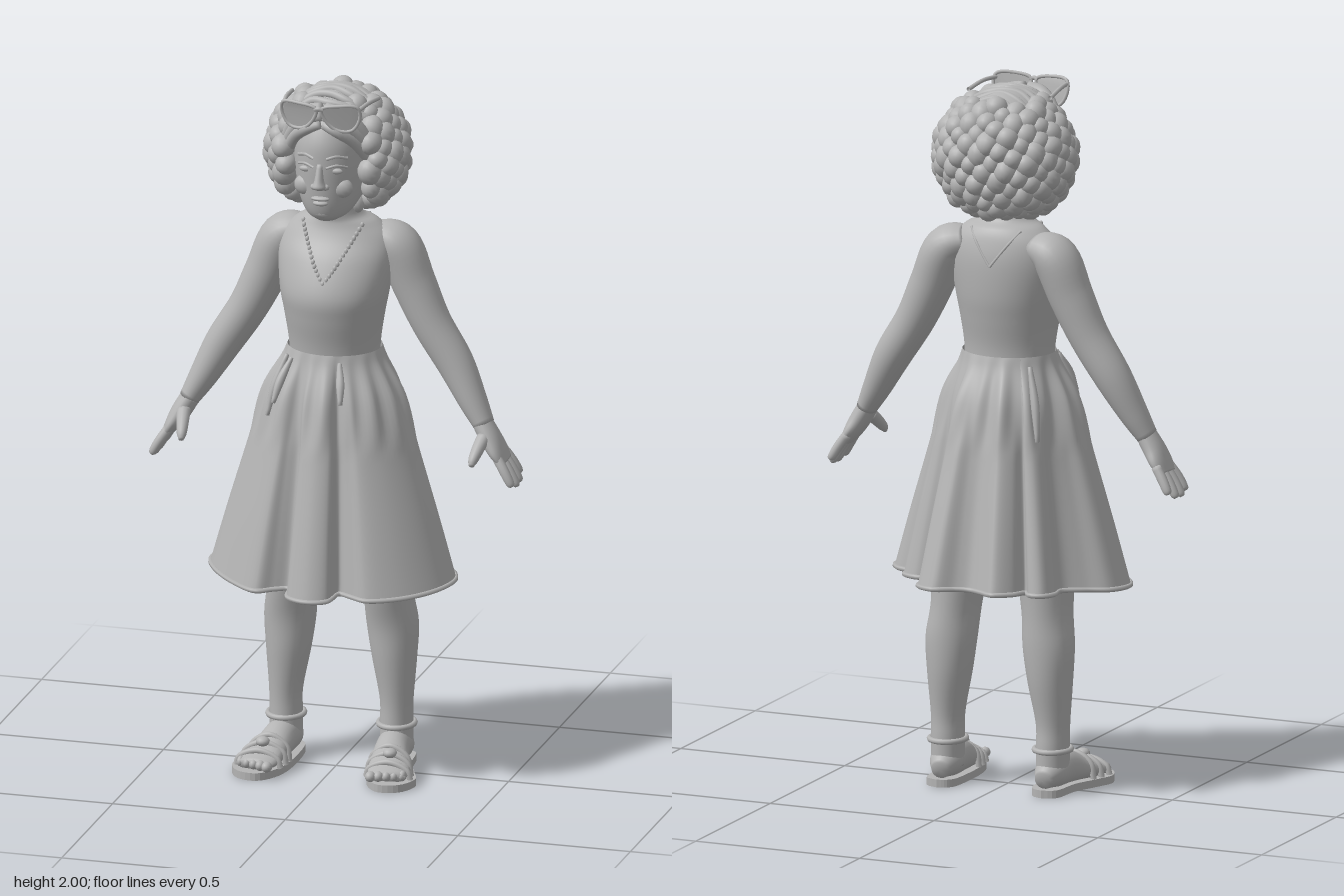
import * as THREE from 'three';

const skin = new THREE.MeshStandardMaterial({ color: 0xb4b4b4 });
skin.name = 'plain grey';
skin.side = THREE.DoubleSide;
const V = (x, y, z) => new THREE.Vector3(x, y, z);
const Y = V(0, 1, 0), Z = V(0, 0, 1);

function add(parent, name, geometry) {
  const m = new THREE.Mesh(geometry, skin);
  m.name = name;
  parent.add(m);
  return m;
}

// Surface of rows x cols points, closed around the columns
function grid(rows, cols, fn) {
  const pos = [], idx = [];
  for (let i = 0; i <= rows; i++) for (let j = 0; j < cols; j++) {
    pos.push(...fn(i, j).toArray());
    if (i === rows) continue;
    const a = i * cols + j, b = i * cols + (j + 1) % cols;
    idx.push(a, a + cols, b, b, a + cols, b + cols);
  }
  const g = new THREE.BufferGeometry();
  g.setAttribute('position', new THREE.Float32BufferAttribute(pos, 3));
  g.setIndex(idx);
  g.computeVertexNormals();
  return g;
}

// Elliptical sweep through stations [x, y, z, radius across, radius along ref]
function sweep(list, { ref = Z, flat = false, rows = 24, cols = 24, s = 1 } = {}) {
  const path = new THREE.CatmullRomCurve3(list.map(p => V(p[0] * s, p[1], p[2])), false, 'catmullrom');
  const size = new THREE.CatmullRomCurve3(list.map(p => V(p[3], p[4], 0)), false, 'catmullrom');
  return grid(rows + 2, cols, (i, j) => {
    const k = Math.min(1, Math.max(0, (i - 1) / rows));
    const t = flat ? Y.clone() : path.getTangent(k);
    const u = ref.clone().addScaledVector(t, -ref.dot(t)).normalize();
    const v = t.clone().cross(u);
    const r = size.getPoint(k).multiplyScalar(i === 0 || i === rows + 2 ? 0.02 : 1);
    const a = j / cols * Math.PI * 2;
    return path.getPoint(k).addScaledVector(v, Math.cos(a) * r.x).addScaledVector(u, Math.sin(a) * r.y);
  });
}

// Front (f = 1) or back (f = -1) depth of a stack of level ellipses
function depth(list, x, y, f = 1) {
  let i = 0;
  while (i < list.length - 2 && list[i + 1][1] < y) i++;
  const a = list[i], b = list[i + 1], k = (y - a[1]) / (b[1] - a[1]);
  const m = n => a[n] + (b[n] - a[n]) * k;
  return m(2) + f * m(4) * Math.sqrt(Math.max(0, 1 - (x / m(3)) ** 2));
}

const tube = (pts, r, n = 24, closed = false) =>
  new THREE.TubeGeometry(new THREE.CatmullRomCurve3(pts.map(p => V(...p)), closed), n, r, 8, closed);

function ball(parent, name, p, r, rot = [0, 0, 0]) {
  const m = add(parent, name, new THREE.SphereGeometry(1, 14, 10));
  m.position.set(...p);
  m.scale.set(...r);
  m.rotation.set(...rot);
  return m;
}

const torso = [
  [0, 1.18, 0.005, 0.125, 0.11], [0, 1.26, 0.01, 0.13, 0.115], [0, 1.34, 0.012, 0.142, 0.13],
  [0, 1.41, 0.01, 0.155, 0.138], [0, 1.5, -0.008, 0.165, 0.12], [0, 1.56, -0.022, 0.155, 0.095],
  [0, 1.6, -0.022, 0.115, 0.078], [0, 1.63, -0.005, 0.07, 0.062], [0, 1.72, 0.01, 0.06, 0.06]];
const skull = [
  [0, 1.632, 0.085, 0.03, 0.035], [0, 1.65, 0.07, 0.06, 0.07], [0, 1.69, 0.045, 0.085, 0.108],
  [0, 1.75, 0.03, 0.1, 0.13], [0, 1.81, 0.025, 0.106, 0.138], [0, 1.87, 0.015, 0.105, 0.142],
  [0, 1.93, 0, 0.09, 0.125], [0, 1.965, 0, 0.05, 0.07]];

// Hem outline seen from above, as x and z
const hem = [
  [0, 0.3], [0.055, 0.28], [0.072, 0.215], [0.11, 0.23], [0.16, 0.25], [0.25, 0.21], [0.33, 0.12],
  [0.355, 0.03], [0.32, -0.04], [0.27, -0.07], [0.265, -0.12], [0.22, -0.15], [0.175, -0.15], [0.168, -0.21],
  [0.15, -0.275], [0.092, -0.303], [0.04, -0.268], [0, -0.257], [-0.04, -0.275], [-0.085, -0.3],
  [-0.13, -0.26], [-0.148, -0.21], [-0.175, -0.245], [-0.21, -0.24], [-0.228, -0.195], [-0.22, -0.13],
  [-0.27, -0.08], [-0.33, -0.04], [-0.35, 0.04], [-0.32, 0.11], [-0.24, 0.2], [-0.16, 0.25],
  [-0.115, 0.225], [-0.075, 0.21], [-0.06, 0.275]];

function buildDress(g) {
  add(g, 'bodice', sweep(torso, { flat: true, rows: 40, cols: 40 }));
  const outline = new THREE.CatmullRomCurve3(hem.map(([x, z]) => V(x, 0.59 - 0.06 * z, z)), true);
  const spread = new THREE.CatmullRomCurve3([[0, 0], [0.05, 0.06], [0.2, 0.3], [0.45, 0.52], [0.74, 0.78], [1, 1]].map(p => V(p[0], p[1], 0)));
  const cols = 200, rows = 32;
  const rim = Array.from({ length: cols }, (_, j) => outline.getPoint(j / cols));
  add(g, 'pleatedSkirt', grid(rows, cols, (i, j) => {
    const s = spread.getPoint(i / rows), p = rim[j], a = Math.atan2(p.x, p.z);
    const gather = 1 + 0.035 * Math.sin(a * 17) * Math.sin(Math.PI * Math.min(1, s.x * 2.5));
    const x = Math.sin(a) * 0.133, z = 0.008 + Math.cos(a) * 0.12;
    return V((x + (p.x - x) * s.y) * gather, 1.24 + (p.y - 1.24) * s.x, (z + (p.z - z) * s.y) * gather);
  }));
  add(g, 'hemRoll', new THREE.TubeGeometry(outline, 200, 0.007, 6, true));
  // Gathered ruffles hanging below the waist
  for (const [x, z, l] of [[-0.145, 0.1, 0.17], [-0.12, 0.13, 0.12], [-0.14, -0.12, 0.2], [0.06, 0.15, 0.1]])
    add(g, 'waistRuffle', sweep([[x * 0.8, 1.22, z * 0.85, 0.006, 0.008], [x, 1.22 - l / 2, z * 1.08, 0.012, 0.012], [x * 1.12, 1.22 - l, z * 1.25, 0.006, 0.008]], { rows: 10, cols: 10 }));
  // Necklace in front and V seam behind
  for (const s of [-1, 1]) {
    for (let i = 0; i <= 14; i++) {
      const k = i / 14, x = s * 0.085 * k ** 0.85, y = 1.45 + 0.15 * k;
      ball(g, 'necklaceBead', [x, y, depth(torso, x, y)], [0.006, 0.008, 0.005]);
    }
    add(g, 'backNeckSeam', tube([0, 0.33, 0.66, 1].map(k => {
      const x = s * 0.075 * k, y = 1.5 + 0.1 * k;
      return [x, y, depth(torso, x, y, -1)];
    }), 0.004));
  }
}

function buildFace(g) {
  add(g, 'head', sweep(skull, { flat: true, rows: 36, cols: 36 }));
  const on = (x, y, d = 0) => [x, y, depth(skull, x, y) + d];
  add(g, 'nose', sweep([[0, 1.735, 0.158, 0.012, 0.012], [0, 1.745, 0.168, 0.02, 0.02], [0, 1.765, 0.166, 0.013, 0.017], [0, 1.81, 0.158, 0.008, 0.009]], { flat: true, rows: 14, cols: 14 }));
  ball(g, 'upperLip', on(0, 1.708, 0), [0.027, 0.007, 0.013]);
  ball(g, 'lowerLip', on(0, 1.694, 0), [0.022, 0.008, 0.013]);
  ball(g, 'chin', [0, 1.662, 0.125], [0.03, 0.02, 0.02]);
  for (const s of [-1, 1]) {
    ball(g, 'nostril', [s * 0.016, 1.743, 0.158], [0.011, 0.009, 0.012]);
    ball(g, 'eye', on(s * 0.043, 1.79, -0.003), [0.02, 0.009, 0.009]);
    ball(g, 'cheek', on(s * 0.05, 1.735, -0.018), [0.035, 0.03, 0.024]);
    for (const [name, y, r] of [['eyelid', 1.799, 0.004], ['eyebrow', 1.825, 0.005]])
      add(g, name, tube([on(s * 0.018, y), on(s * 0.043, y + 0.007), on(s * 0.07, y - 0.001)], r));
  }
}

function buildHair(g) {
  ball(g, 'hairBase', [0, 1.8, -0.055], [0.165, 0.165, 0.125]);
  ball(g, 'hairCap', [0, 1.84, -0.015], [0.142, 0.152, 0.148]);
  // Curls spread evenly round the head, leaving the face open
  const n = 210;
  for (let i = 0; i < n; i++) {
    const y = 1 - 2 * (i + 0.5) / n, a = i * 2.39996, r = Math.sqrt(1 - y * y) ** (y < 0 ? 0.7 : 1);
    const p = [Math.cos(a) * r * (0.18 - 0.015 * Math.max(0, y)), 1.81 + y * 0.16, -0.022 + Math.sin(a) * r * 0.155];
    if (y > 0.86 || (p[2] > 0.03 && Math.abs(p[0]) < 0.115 && p[1] < 1.93)) continue;
    if (y < -0.8 && p[2] > 0) continue;
    const k = 0.027 + 0.008 * Math.abs(Math.sin(i * 12.9));
    ball(g, 'curl', p, [k, k * 1.15, k], [i, i * 2, 0]);
  }
  // Wavy strands over the crown and parted locks on the forehead
  for (let i = -4; i <= 4; i++) {
    const pts = [-0.1, -0.05, 0, 0.05, 0.1].map((x, k) => {
      const z = i * 0.026 - 0.005 + 0.008 * Math.sin(k * 2 + i);
      return [x, 1.833 + 0.152 * Math.sqrt(Math.max(0, 1 - (x / 0.15) ** 2 - (z / 0.158) ** 2)), z];
    });
    add(g, 'crownStrand', tube(pts, 0.012));
  }
  for (const s of [-1, 1]) for (const [d, r] of [[0, 0.017], [0.022, 0.02], [0.045, 0.02]])
    add(g, 'foreheadLock', sweep([[0.004, 1.92 + d, 0.142 - d * 0.5, r * 0.7, r * 0.7], [0.045, 1.905 + d, 0.145 - d * 0.5, r, r], [0.085, 1.87 + d, 0.115 - d * 0.3, r, r], [0.12, 1.81 + d, 0.075, r, r]], { rows: 14, cols: 12, s }));
}

function buildSunglasses(g) {
  const glasses = new THREE.Group();
  glasses.name = 'sunglasses';
  glasses.position.set(0, 1.945, 0.165);
  glasses.rotation.x = 0.2;
  g.add(glasses);
  for (const s of [-1, 1]) {
    const pts = [[0.008, 0.03], [0.06, 0.042], [0.108, 0.035], [0.112, 0.0], [0.09, -0.035], [0.05, -0.035], [0.02, -0.008]];
    const rim = new THREE.CatmullRomCurve3(pts.map(([x, y]) => V(s * x, y, -x * x * 1.5)), true);
    add(glasses, 'lensRim', new THREE.TubeGeometry(rim, 40, 0.005, 8, true));
    const lens = new THREE.ShapeGeometry(new THREE.Shape(rim.getPoints(40).map(p => new THREE.Vector2(p.x, p.y))));
    const q = lens.attributes.position;
    for (let i = 0; i < q.count; i++) q.setZ(i, -(q.getX(i) ** 2) * 1.5);
    lens.computeVertexNormals();
    add(glasses, 'lens', lens);
    add(glasses, 'templeArm', tube([[s * 0.108, 0.025, -0.018], [s * 0.118, 0.015, -0.08], [s * 0.125, -0.01, -0.16]], 0.006));
  }
  add(glasses, 'bridge', tube([[-0.012, 0.028, 0], [0, 0.032, 0.002], [0.012, 0.028, 0]], 0.006));
}

function buildArm(g, s) {
  add(g, 'arm', sweep([[0.1, 1.555, -0.04, 0.04, 0.055], [0.165, 1.525, -0.047, 0.062, 0.072], [0.212, 1.42, -0.045, 0.062, 0.064], [0.265, 1.31, -0.04, 0.056, 0.058], [0.335, 1.2, -0.035, 0.052, 0.054], [0.39, 1.1, -0.02, 0.04, 0.045], [0.427, 1.035, -0.008, 0.029, 0.036]], { rows: 36, s }));
  add(g, 'palm', sweep([[0.42, 1.045, -0.008, 0.028, 0.034], [0.447, 1.0, -0.005, 0.028, 0.045], [0.468, 0.965, -0.006, 0.023, 0.054], [0.487, 0.935, -0.008, 0.015, 0.05]], { s }));
  // Four fingers and a thumb
  [0.038, 0.006, -0.026, -0.054].forEach((z, i) => {
    const l = [0.9, 1, 0.97, 0.8][i];
    add(g, 'finger', sweep([[0.472, 0.958, z * 0.8 - 0.003, 0.014, 0.014], [0.472 + 0.03 * l, 0.958 - 0.045 * l, z, 0.014, 0.014], [0.472 + 0.05 * l, 0.958 - 0.08 * l, z * 1.1, 0.012, 0.012], [0.472 + 0.055 * l, 0.958 - 0.09 * l, z * 1.1, 0.006, 0.006]], { rows: 12, cols: 12, s }));
  });
  add(g, 'thumb', sweep([[0.435, 1.01, 0.02, 0.018, 0.02], [0.428, 0.985, 0.055, 0.017, 0.018], [0.422, 0.96, 0.085, 0.014, 0.014], [0.42, 0.945, 0.098, 0.007, 0.007]], { ref: V(1, 0, 0), rows: 12, cols: 12, s }));
}

function buildLeg(g, s) {
  add(g, 'leg', sweep([[0.16, 0.05, -0.052, 0.046, 0.055], [0.16, 0.13, -0.054, 0.046, 0.054], [0.16, 0.2, -0.053, 0.047, 0.054], [0.153, 0.32, -0.056, 0.063, 0.068], [0.148, 0.42, -0.055, 0.073, 0.074], [0.138, 0.52, -0.042, 0.07, 0.084], [0.126, 0.66, -0.03, 0.084, 0.096], [0.11, 0.82, -0.02, 0.095, 0.105], [0.075, 1.02, 0, 0.075, 0.1]], { flat: true, rows: 40, s }));
  add(g, 'foot', sweep([[0.157, 0.045, -0.115, 0.025, 0.025], [0.16, 0.06, -0.07, 0.046, 0.045], [0.163, 0.065, -0.01, 0.048, 0.052], [0.172, 0.053, 0.05, 0.053, 0.041], [0.186, 0.04, 0.11, 0.06, 0.027], [0.193, 0.034, 0.16, 0.052, 0.016]], { ref: Y, s }));
  for (let i = 0; i < 5; i++)
    ball(g, 'toe', [s * (0.15 + i * 0.021), 0.036, 0.172 - 0.006 * i - (i === 0 ? 0 : 0.002 * i)], [0.015 - i * 0.001, 0.015, 0.018]);
  // Sandal
  const edge = new THREE.SplineCurve([[0.16, -0.132], [0.2, -0.11], [0.212, -0.02], [0.245, 0.06], [0.264, 0.12], [0.235, 0.18], [0.175, 0.194], [0.13, 0.14], [0.112, 0.05], [0.114, -0.08], [0.13, -0.12], [0.16, -0.132]].map(([x, z]) => new THREE.Vector2(x * s, z)));
  const sole = new THREE.ExtrudeGeometry(new THREE.Shape(edge.getPoints(48)), { depth: 0.022, bevelEnabled: false });
  sole.rotateX(Math.PI / 2).translate(0, 0.022, 0);
  add(g, 'sandalSole', sole);
  for (const [z, h, w] of [[0.06, 0.093, 0.058], [0.09, 0.08, 0.063], [0.125, 0.066, 0.064]]) {
    const c = 0.175 + (z - 0.06) * 0.2;
    add(g, 'sandalStrap', tube([[-w, 0.02], [-w * 0.85, h * 0.68], [0, h], [w * 0.85, h * 0.68], [w, 0.02]].map(([x, y]) => [s * (c + x), y, z]), 0.009));
  }
  ball(g, 'strapFlower', [s * 0.184, 0.084, 0.095], [0.02, 0.014, 0.02]);
  const cuff = add(g, 'ankleStrap', new THREE.TorusGeometry(0.05, 0.008, 8, 32));
  cuff.rotation.x = Math.PI / 2;
  cuff.scale.y = 1.12;
  cuff.position.set(s * 0.16, 0.125, -0.054);
}

export function createModel() {
  const model = new THREE.Group();
  model.name = 'girlInDress';
  const part = (name, build, s) => {
    const g = new THREE.Group();
    g.name = name;
    build(g, s);
    model.add(g);
  };
  part('dress', buildDress);
  part('face', buildFace);
  part('hair', buildHair);
  part('eyewear', buildSunglasses);
  for (const [side, s] of [['left', 1], ['right', -1]]) {
    part(side + 'Arm', buildArm, s);
    part(side + 'Leg', buildLeg, s);
  }
  return model;
}
